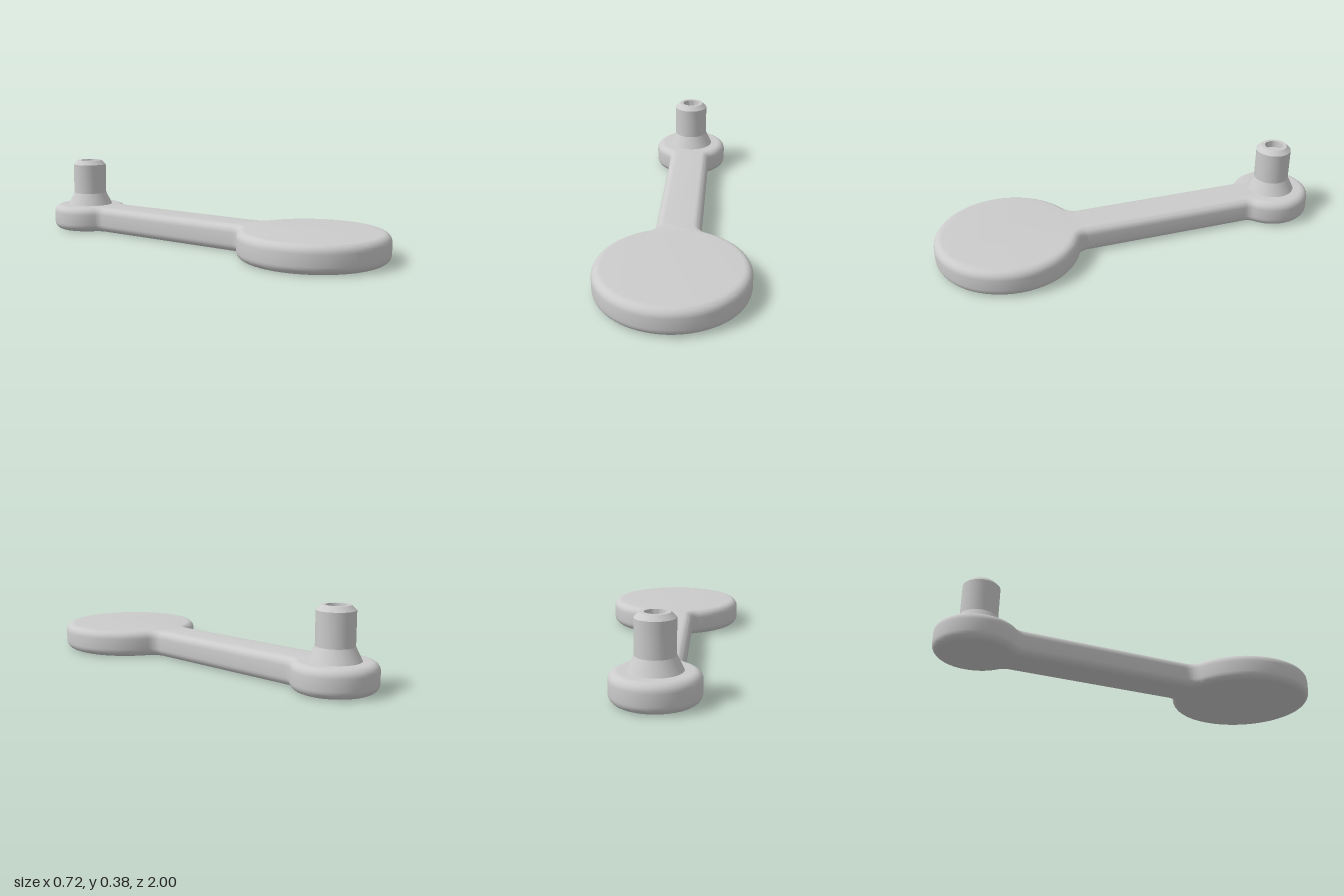
import * as THREE from 'three';
import { toCreasedNormals } from 'three/addons/utils/BufferGeometryUtils.js';

const HEIGHT = 0.135, BEVEL = 0.04, ARM = 0.11;
const PAD = { z: 0.64, r: 0.36 }, HUB = { z: -0.8, r: 0.2 };

// Outline of pad, arm and hub with small fillets; shape y is -z
function paddleShape() {
  const a = 0.43, b = 0.7; // half angles where the arm meets pad and hub
  const padX = PAD.r * Math.sin(a), padY = -PAD.z + PAD.r * Math.cos(a);
  const hubX = HUB.r * Math.sin(b), hubY = -HUB.z - HUB.r * Math.cos(b);
  const padCorner = padY + (padX - ARM) * Math.tan(a);
  const hubCorner = hubY - (hubX - ARM) * Math.tan(b);
  const s = new THREE.Shape();
  s.absarc(0, -PAD.z, PAD.r, Math.PI / 2 + a, Math.PI * 2.5 - a, false);
  s.quadraticCurveTo(ARM, padCorner, ARM, padCorner + 0.04);
  s.lineTo(ARM, hubCorner - 0.025);
  s.quadraticCurveTo(ARM, hubCorner, hubX, hubY);
  s.absarc(0, -HUB.z, HUB.r, -Math.PI / 2 + b, Math.PI * 1.5 - b, false);
  s.quadraticCurveTo(-ARM, hubCorner, -ARM, hubCorner - 0.025);
  s.lineTo(-ARM, padCorner + 0.04);
  s.quadraticCurveTo(-ARM, padCorner, -padX, padY);
  return s;
}

export function createModel() {
  const group = new THREE.Group();
  const material = new THREE.MeshStandardMaterial({ color: 0xcccccc });
  const add = (name, geometry) => {
    const mesh = new THREE.Mesh(toCreasedNormals(geometry, 0.45), material);
    mesh.name = name;
    group.add(mesh);
    return mesh;
  };

  // Flat crank body with rounded edges
  const body = new THREE.ExtrudeGeometry(paddleShape(), {
    depth: HEIGHT - 2 * BEVEL, curveSegments: 32,
    bevelThickness: BEVEL, bevelSize: BEVEL, bevelOffset: -BEVEL, bevelSegments: 6,
  });
  body.translate(0, 0, BEVEL).rotateX(-Math.PI / 2);
  add('crankBody', body);

  // Flared post with a chamfered top and a shallow socket
  const profile = [
    [0.122, HEIGHT - 0.005], [0.122, HEIGHT], [0.09, 0.2], [0.09, 0.36],
    [0.067, 0.383], [0.047, 0.383], [0.045, 0.35], [0, 0.35],
  ].map(([r, y]) => new THREE.Vector2(r, y));
  add('post', new THREE.LatheGeometry(profile, 32)).position.z = HUB.z;

  return group;
}
